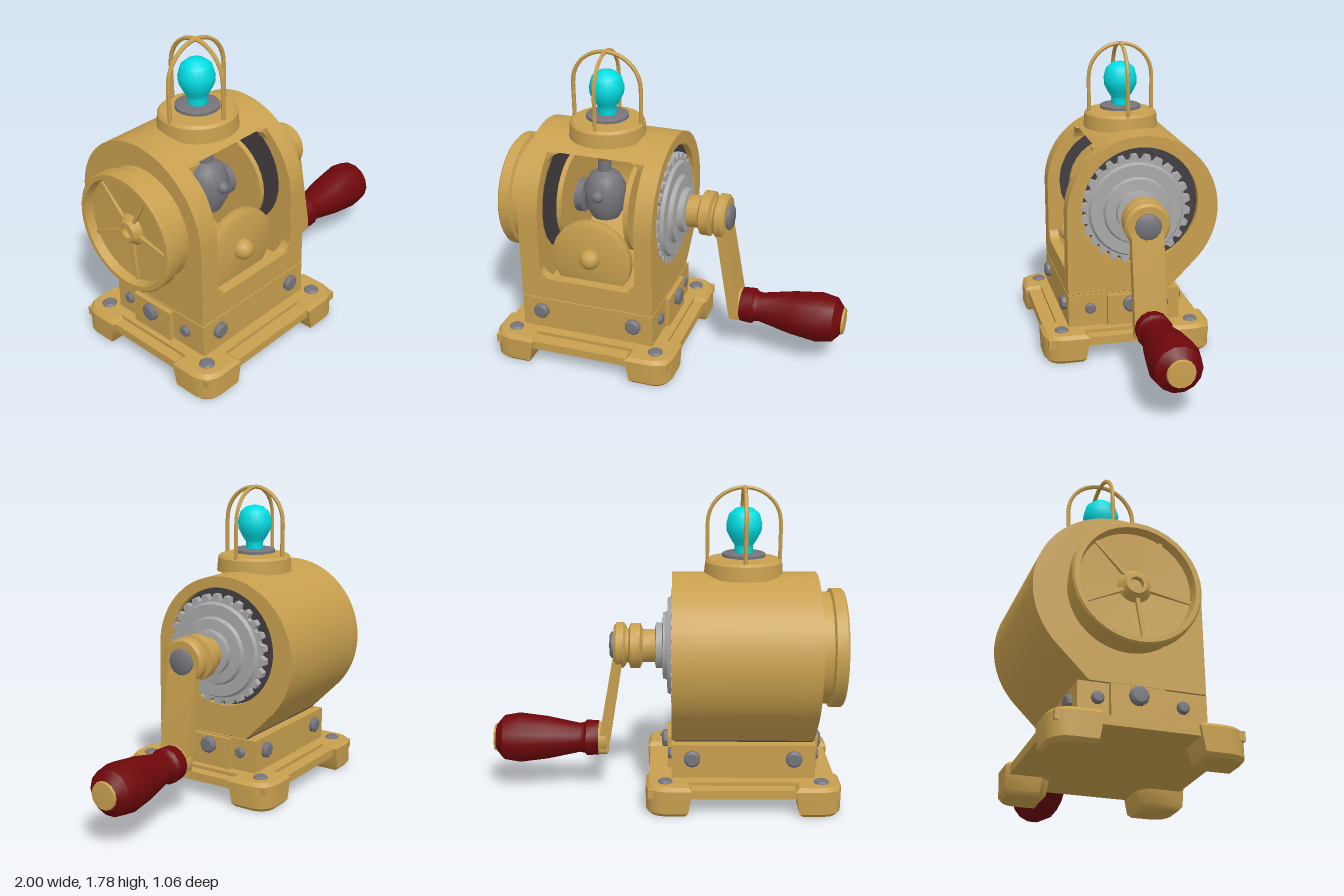
import * as THREE from 'three';
import { toCreasedNormals } from 'three/addons/utils/BufferGeometryUtils.js';

const mat = (name, color) => {
  const m = new THREE.MeshStandardMaterial({ color });
  m.name = name;
  return m;
};

export function createModel() {
  const model = new THREE.Group();
  model.name = 'handCrankMachine';
  const brass = mat('brass', 0xc79f4e);
  const steel = mat('steel', 0x74747a);
  const gearGrey = mat('gearGrey', 0xa8a8a8);
  const dark = mat('darkIron', 0x433d40);
  const red = mat('redHandle', 0x6e070a);
  const cyan = mat('bulbGlass', 0x00dde2);

  const CY = 0.87, CZ = -0.035, LX = -0.435; // main shaft height and depth, lamp x

  const add = (name, geo, material, x = 0, y = 0, z = 0) => {
    const m = new THREE.Mesh(toCreasedNormals(geo, 0.6), material);
    m.name = name;
    m.position.set(x, y, z);
    model.add(m);
    return m;
  };
  const box = (name, material, x0, x1, y0, y1, z0, z1) => add(name,
    new THREE.BoxGeometry(x1 - x0, y1 - y0, z1 - z0), material, (x0 + x1) / 2, (y0 + y1) / 2, (z0 + z1) / 2);
  // Lathe around y, or turned so that the profile runs along +x or +z
  const lathe = (name, material, pts, axis, x, y, z, seg = 24) => {
    const g = new THREE.LatheGeometry(pts.map(p => new THREE.Vector2(p[0], p[1])), seg);
    if (axis === 'x') g.rotateZ(-Math.PI / 2);
    if (axis === 'z') g.rotateX(Math.PI / 2);
    return add(name, g, material, x, y, z);
  };
  // Extrude a (z, y) shape along x, from x0 to x1
  const extrudeX = (name, material, shape, x0, x1) => {
    const g = new THREE.ExtrudeGeometry(shape, { depth: x1 - x0, bevelEnabled: false, curveSegments: 32 });
    return add(name, g.rotateY(-Math.PI / 2), material, x1);
  };

  // Drum housing: two end walls and an open middle
  const A0 = Math.asin(0.37 / 0.45), A1 = Math.PI * 1.25;
  const endWall = hole => {
    const s = new THREE.Shape();
    s.moveTo(0.37, 0.37);
    s.lineTo(0.37, 0.85);
    s.absarc(-0.08, 0.85, 0.45, 0, A1, false);
    s.lineTo(-0.24, 0.37);
    s.closePath();
    if (hole) s.holes.push(new THREE.Path().absarc(-0.065, 0.89, 0.345, 0, Math.PI * 2, true));
    return s;
  };
  extrudeX('housingLeftWall', brass, endWall(false), -0.84, -0.72);
  extrudeX('housingRightWall', brass, endWall(true), -0.14, -0.035);
  const mid = new THREE.Shape();
  mid.moveTo(0.37, 0.37);
  mid.lineTo(0.37, 0.5);
  mid.lineTo(0.31, 0.5);
  mid.lineTo(0.31, 0.43);
  mid.lineTo(-0.21, 0.43);
  mid.absarc(-0.08, 0.85, 0.39, A1, Math.asin(0.37 / 0.39), true);
  mid.absarc(-0.08, 0.85, 0.45, A0, A1, false);
  mid.lineTo(-0.24, 0.37);
  mid.closePath();
  extrudeX('housingShell', brass, mid, -0.72, -0.14);

  // Rounded fillets in the window corners
  for (const sx of [-1, 1]) for (const [sy, y, z, r] of [[-1, 0.5, 0.31, 0.05], [1, 1.222, 0.14, 0.07]]) {
    const x = -0.43 + sx * 0.29;
    const s = new THREE.Shape();
    s.moveTo(x, y);
    s.lineTo(x - sx * r, y);
    s.quadraticCurveTo(x - sx * r * 0.25, y - sy * r * 0.25, x, y - sy * r);
    s.closePath();
    add('windowFillet', new THREE.ExtrudeGeometry(s, { depth: 0.055, bevelEnabled: false }), brass, 0, 0, z);
  }

  // Left end cap: dished flywheel cover with a hub and ribs
  lathe('endCap', brass, [[0, 0.05], [0.035, 0.05], [0.035, 0.02], [0.055, 0.02], [0.09, 0.06], [0.295, 0.05],
    [0.305, 0], [0.33, 0], [0.34, 0.01], [0.34, 0.07], [0.32, 0.08], [0.32, 0.17], [0, 0.17]],
    'x', -1, 0.86, CZ, 36);
  for (let i = 0; i < 5; i++) {
    const a = i * Math.PI * 0.4 + 0.5;
    const rib = add('capRib', new THREE.BoxGeometry(0.03, 0.23, 0.02), brass,
      -0.945, 0.86 + Math.cos(a) * 0.185, CZ + Math.sin(a) * 0.185);
    rib.rotation.x = a;
  }

  // Drive gear with teeth, a stepped face and a dark plate behind it
  const teeth = 26, gear = new THREE.Shape();
  for (let i = 0; i < teeth; i++) for (const [f, r] of [[0, 0.293], [0.2, 0.325], [0.6, 0.325], [0.75, 0.293]]) {
    const a = (i + f) / teeth * Math.PI * 2, p = [CZ + Math.cos(a) * r, CY + Math.sin(a) * r];
    if (i || f) gear.lineTo(...p); else gear.moveTo(...p);
  }
  gear.closePath();
  extrudeX('driveGear', gearGrey, gear, -0.1, -0.03);
  lathe('driveGearFace', gearGrey, [[0.285, 0], [0.27, 0.025], [0.2, 0.025], [0.19, 0.04], [0, 0.04]], 'x', -0.035, CY, CZ, 32);
  lathe('gearBacking', dark, [[0, 0], [0.345, 0], [0.345, 0.07], [0, 0.07]], 'x', -0.139, 0.89, -0.065, 32);

  // Dark plate on the left inner wall, and two brass discs on the shaft
  lathe('innerPlate', dark, [[0, 0], [0.33, 0], [0.33, 0.006], [0, 0.006]], 'x', -0.721, CY, CZ, 24);
  for (const x of [-0.655, -0.25])
    lathe('innerDisc', brass, [[0, 0], [0.28, 0], [0.28, 0.03], [0, 0.03]], 'x', x, CY, CZ, 32);

  // Inner shaft, governor ball and its spindle
  lathe('innerShaft', steel, [[0.1, 0], [0.1, 0.14], [0.06, 0.15], [0.06, 0.42], [0.1, 0.43], [0.1, 0.58]], 'x', -0.72, CY, CZ, 12);
  lathe('governorBall', steel, [[0, -0.16], [0.08, -0.14], [0.12, -0.06], [0.12, 0.06], [0.09, 0.12], [0.04, 0.15],
    [0.035, 0.3]], 'y', -0.44, 0.93, 0.02, 16);
  add('governorKnob', new THREE.SphereGeometry(0.035, 10, 8), steel, -0.44, 0.96, 0.145);
  lathe('spindleCollar', brass, [[0, 0], [0.04, 0], [0.065, 0.03], [0.065, 0.09]], 'y', -0.44, 1.15, 0.02, 12);

  // Front wheel with a round hub
  lathe('frontWheel', brass, [[0, 0], [0.235, 0], [0.24, 0.01], [0.24, 0.05], [0.22, 0.06], [0, 0.06]], 'z', -0.44, 0.615, 0.22, 36);
  add('frontWheelHub', new THREE.SphereGeometry(0.06, 14, 10), brass, -0.44, 0.63, 0.29);

  // Pedestal and base plate
  box('pedestal', brass, -0.84, -0.035, 0.14, 0.363, -0.3, 0.37);
  box('pedestalSeam', dark, -0.83, -0.05, 0.36, 0.372, -0.24, 0.36);
  box('sidePlates', brass, -0.87, -0.01, 0.16, 0.355, -0.14, 0.14);
  box('basePlate', brass, -0.96, 0.095, 0.1, 0.15, -0.445, 0.51);
  box('baseStep', brass, -0.9, 0.03, 0.14, 0.17, -0.37, 0.43);

  // Bolt head pointing along an axis
  const bolt = (dir, x, y, z, r) => {
    const m = lathe('bolt', steel, [[r, -0.02], [r, 0.02], [r * 0.75, 0.03], [0, 0.032]], 'y', x, y, z, 10);
    m.quaternion.setFromUnitVectors(new THREE.Vector3(0, 1, 0), new THREE.Vector3(...dir));
  };

  // Four corner feet, wider at the top, with bolts
  for (const sx of [-1, 1]) for (const sz of [-1, 1]) {
    const s = new THREE.Shape();
    s.moveTo(-0.11, -0.07);
    s.lineTo(-0.07, -0.11);
    s.lineTo(0.11, -0.11);
    s.lineTo(0.11, 0.02);
    s.quadraticCurveTo(0.1, 0.1, 0.02, 0.11);
    s.lineTo(-0.11, 0.11);
    s.closePath();
    const g = new THREE.ExtrudeGeometry(s, { depth: 0.13, bevelThickness: 0.02, bevelSize: 0.02, bevelSegments: 1, curveSegments: 4 });
    g.rotateX(-Math.PI / 2);
    const p = g.attributes.position;
    for (let i = 0; i < p.count; i++) if (p.getY(i) < 0.05) {
      p.setX(i, p.getX(i) * 0.9 + 0.01);
      p.setZ(i, p.getZ(i) * 0.9 - 0.01);
    }
    const turn = sx > 0 ? (sz < 0 ? 0 : -Math.PI / 2) : (sz < 0 ? Math.PI / 2 : Math.PI);
    add('foot', g, brass, -0.435 + sx * 0.415, 0.02, 0.03 + sz * 0.37).rotation.y = turn;
    bolt([0, 1, 0], -0.435 + sx * 0.435, 0.153, 0.03 + sz * 0.39, 0.043);
    bolt([0, 0, sz], -0.435 + sx * 0.285, 0.285, sz > 0 ? 0.37 : -0.3, 0.047);
    bolt([sx, 0, 0], -0.44 + sx * 0.395, 0.28, sz > 0 ? 0.24 : -0.2, 0.033);
  }
  for (const sx of [-1, 1]) bolt([sx, 0, 0], -0.44 + sx * 0.43, 0.3, 0, 0.05);

  // Crank shaft and collars
  lathe('shaftFlange', gearGrey, [[0.19, 0], [0.19, 0.015], [0.13, 0.02], [0.13, 0.055], [0.11, 0.06], [0, 0.06]], 'x', 0, CY, CZ);
  lathe('shaftCollar', brass, [[0.095, 0], [0.095, 0.07], [0.13, 0.085], [0.13, 0.14], [0.1, 0.15], [0.1, 0.18]], 'x', 0.06, CY, CZ, 16);
  lathe('crankBoss', brass, [[0, 0], [0.11, 0], [0.13, 0.015], [0.13, 0.055], [0.115, 0.07], [0, 0.07]], 'x', 0.225, CY, CZ + 0.01, 20);
  lathe('crankPin', steel, [[0.075, 0], [0.075, 0.02], [0.06, 0.03], [0, 0.03]], 'x', 0.29, CY, CZ + 0.01, 14);

  // Crank arm leaning outward to a round end that carries the handle
  const arm = new THREE.Shape([[0.23, 0.9], [0.285, 0.9], [0.385, 0.33], [0.39, 0.25], [0.335, 0.25], [0.325, 0.3]]
    .map(p => new THREE.Vector2(...p)));
  add('crankArm', new THREE.ExtrudeGeometry(arm, { depth: 0.185, bevelEnabled: false }), brass, 0, 0, -0.115);
  lathe('crankArmEnd', brass, [[0, 0], [0.085, 0], [0.095, 0.01], [0.095, 0.055], [0, 0.055]], 'x', 0.335, 0.31, -0.03, 16);

  // Turned handle with an end cap
  lathe('handle', red, [[0, 0], [0.1, 0], [0.105, 0.07], [0.09, 0.085], [0.085, 0.11], [0.125, 0.3], [0.145, 0.46],
    [0.13, 0.55], [0.078, 0.595], [0, 0.595]], 'x', 0.39, 0.31, -0.025, 14);
  lathe('handleCap', brass, [[0.08, 0], [0.075, 0.012], [0, 0.015]], 'x', 0.985, 0.31, -0.025, 14);

  // Lamp: mount, socket, bulb and wire cage
  lathe('lampMount', brass, [[0, 0], [0.222, 0], [0.215, 0.08], [0.2, 0.095], [0, 0.095]], 'y', LX, 1.28, CZ, 28);
  lathe('lampSocket', steel, [[0.06, 0], [0.06, 0.018], [0.122, 0.018], [0.122, 0.034], [0.11, 0.04], [0, 0.04]], 'y', LX, 1.37, CZ, 20);
  lathe('bulb', cyan, [[0.052, 0], [0.052, 0.045], [0.075, 0.08], [0.097, 0.125], [0.1, 0.165], [0.085, 0.22], [0.05, 0.25],
    [0, 0.262]], 'y', LX, 1.405, CZ, 16);
  for (const [turn, r] of [[0, 0.203], [Math.PI / 2, 0.19]]) {
    const pts = [new THREE.Vector3(-r, 0, 0), new THREE.Vector3(-r, 0.1, 0)];
    for (let i = 0; i <= 12; i++) {
      const a = Math.PI * (1 - i / 12);
      pts.push(new THREE.Vector3(Math.cos(a) * r, 0.21 + Math.sin(a) * 0.195, 0));
    }
    pts.push(new THREE.Vector3(r, 0.1, 0), new THREE.Vector3(r, 0, 0));
    add('cageWire', new THREE.TubeGeometry(new THREE.CatmullRomCurve3(pts), 48, 0.012, 6), brass, LX, 1.365, CZ).rotation.y = turn;
  }

  return model;
}
